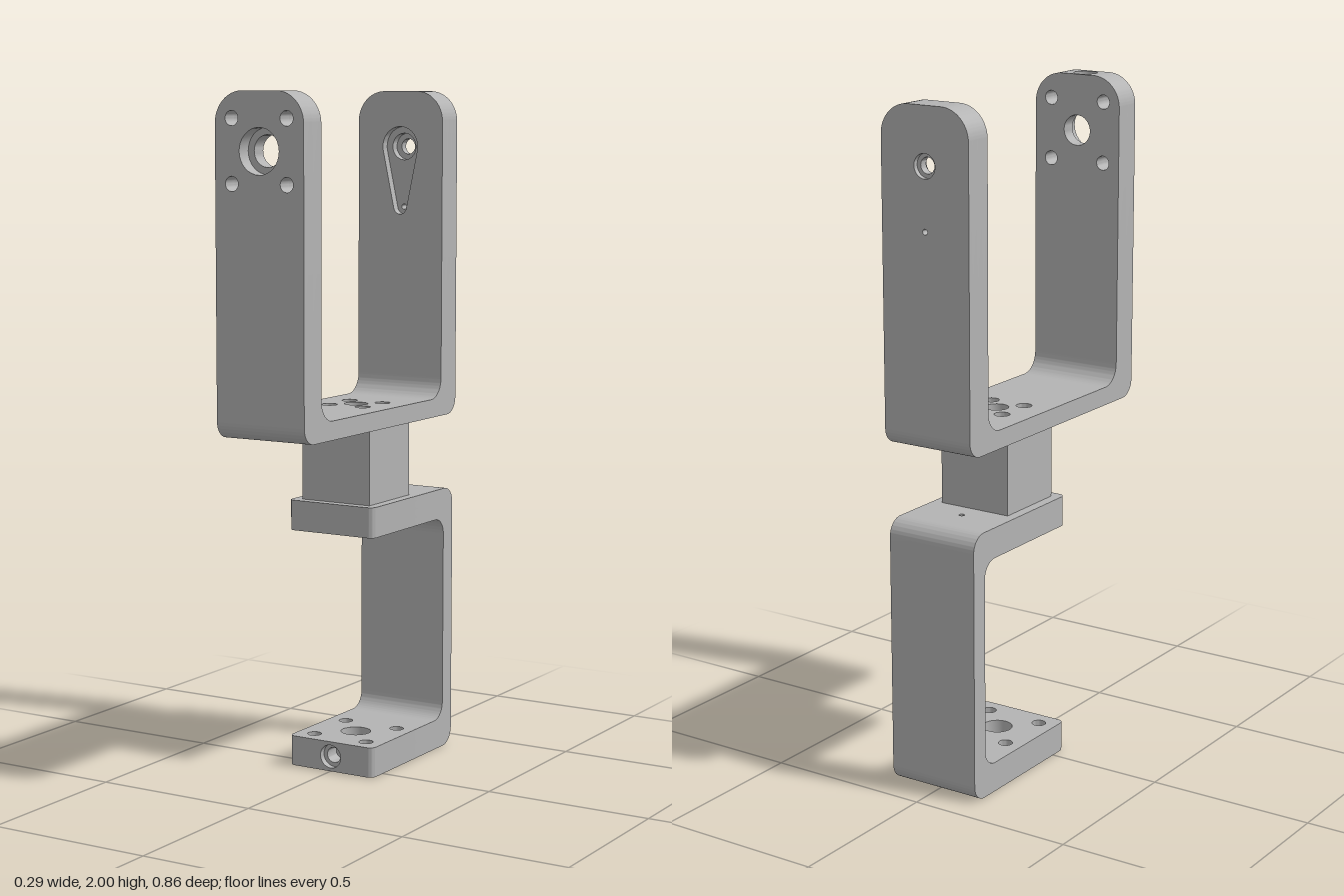
import * as THREE from 'three';
import { toCreasedNormals } from 'three/addons/utils/BufferGeometryUtils.js';

const W = 0.145; // half width of every bracket plate
const T = 0.09;  // thickness of the drilled ends
const grey = new THREE.MeshStandardMaterial({ color: 0xb3b3b3 });
grey.name = 'plain grey';

function circle(x, y, r) {
  return new THREE.Path().absarc(x, y, r, 0, Math.PI * 2, false);
}

// Four screw holes on a square pattern
function screwHoles(offset, r) {
  return [[-1, -1], [1, -1], [1, 1], [-1, 1]].map(([a, b]) => circle(a * offset, b * offset, r));
}

function rect(x0, y0, x1, y1) {
  return new THREE.Shape([[x0, y0], [x1, y0], [x1, y1], [x0, y1]].map(p => new THREE.Vector2(...p)));
}

// One slab of a part: outline with holes, from depth w0 to w1
function layer(name, outline, holes, w0, w1) {
  const shape = outline.clone();
  shape.holes = holes;
  const geo = new THREE.ExtrudeGeometry(shape, { depth: w1 - w0, bevelEnabled: false, curveSegments: 16 });
  geo.translate(0, 0, w0);
  const mesh = new THREE.Mesh(toCreasedNormals(geo, 0.5), grey);
  mesh.name = name;
  return mesh;
}

function group(name, ...parts) {
  const g = new THREE.Group();
  g.name = name;
  if (parts.length) g.add(...parts);
  return g;
}

// Plate outline from root to rounded tip, with an optional notch for the edge bore
function endOutline(root, tip, r, notch) {
  const s = new THREE.Shape();
  s.moveTo(-W, root);
  s.lineTo(W, root);
  s.lineTo(W, tip - r);
  s.absarc(W - r, tip - r, r, 0, Math.PI / 2, false);
  if (notch) {
    s.lineTo(0.045, tip);
    s.lineTo(0.045, tip - notch);
    s.lineTo(-0.045, tip - notch);
    s.lineTo(-0.045, tip);
  }
  s.absarc(-W + r, tip - r, r, Math.PI / 2, Math.PI, false);
  s.closePath();
  return s;
}

// End with a stepped centre hole, four screw holes and a bore in its edge
function drivenEnd(name, root, tip, r) {
  const notch = 0.07;
  const outline = endOutline(root, tip, r, notch);
  const block = rect(-0.045, -0.045, 0.045, 0.045);
  const bore = group('edgeBore',
    layer('boreInner', block, [circle(0, 0, 0.023)], 0, 0.05),
    layer('boreMouth', block, [circle(0, 0, 0.035)], 0.05, notch));
  bore.rotation.x = -Math.PI / 2;
  bore.position.set(0, tip - notch, T / 2);
  return group(name,
    layer('innerFace', outline, [circle(0, 0, 0.045), ...screwHoles(0.09, 0.021)], 0, 0.045),
    layer('outerFace', outline, [circle(0, 0, 0.065), ...screwHoles(0.09, 0.021)], 0.045, T),
    bore);
}

// End with a teardrop pocket, a stepped pivot hole and a tiny pin hole
function idlerEnd(name, root, tip, r) {
  const outline = endOutline(root, tip, r, 0);
  const R = 0.06, r2 = 0.022, d = 0.18;
  const a = Math.asin((R - r2) / d);
  const pocket = new THREE.Path();
  pocket.absarc(0, 0, R, -a, Math.PI + a, false);
  pocket.absarc(0, -d, r2, Math.PI + a, Math.PI * 2 - a, false);
  pocket.closePath();
  const pin = () => circle(0, -d, 0.008);
  return group(name,
    layer('pocketFace', outline, [pocket], 0, 0.025),
    layer('pivotSeat', outline, [circle(0, 0, 0.04), pin()], 0.025, 0.05),
    layer('pivotBore', outline, [circle(0, 0, 0.023), pin()], 0.05, 0.075),
    layer('outerFace', outline, [circle(0, 0, 0.035), pin()], 0.075, T));
}

// Rounded corner joining a wall (thickness tw) and a floor (thickness tf)
function bend(name, tw, tf, ri) {
  const ro = 0.05;
  const s = new THREE.Shape();
  s.moveTo(ro, 0);
  s.lineTo(tw + ri, 0);
  s.lineTo(tw + ri, tf);
  s.absarc(tw + ri, tf + ri, ri, -Math.PI / 2, -Math.PI, true);
  s.lineTo(0, tf + ri);
  s.lineTo(0, ro);
  s.absarc(ro, ro, ro, Math.PI, Math.PI * 1.5, false);
  return layer(name, s, [], -W, W);
}

function place(obj, pos, rot = [0, 0, 0]) {
  obj.position.set(...pos);
  obj.rotation.set(...rot);
  return obj;
}

export function createModel() {
  const H = Math.PI / 2;
  const axisZ = -0.085; // vertical pivot axis

  // Upper fork: two arms on a drilled floor
  const floorShape = rect(-W, -0.28 - axisZ, W, 0.28 - axisZ);
  const floor = group('forkFloor',
    layer('floorTop', floorShape, [circle(0, 0, 0.035), ...screwHoles(0.057, 0.023)], 0, 0.02),
    layer('floorBottom', floorShape, [circle(0, 0, 0.023), ...screwHoles(0.057, 0.023)], 0.02, 0.055));
  const fork = group('upperFork',
    place(drivenEnd('frontArm', -0.69, 0.165, 0.09), [0, 1.835, 0.34]),
    place(idlerEnd('backArm', -0.69, 0.165, 0.09), [0, 1.835, -0.34], [0, Math.PI, 0]),
    place(floor, [0, 1.085, axisZ], [H, 0, 0]),
    place(bend('frontBend', T, 0.055, 0.06), [0, 1.03, 0.43], [0, H, 0]),
    place(bend('backBend', T, 0.055, 0.06), [0, 1.03, -0.43], [0, -H, 0]));

  // Square spacer between the two brackets
  const spacer = place(
    layer('spacer', rect(-0.115, -0.115, 0.115, 0.115), [circle(0, 0, 0.023)], 0, 0.225),
    [0, 1.03, axisZ], [H, 0, 0]);

  // Lower bracket: back wall with a plate above and below
  const wall = new THREE.Mesh(new THREE.BoxGeometry(W * 2, 0.525, 0.055), grey);
  wall.name = 'backWall';
  const bracket = group('lowerBracket',
    place(drivenEnd('bottomPlate', -0.225, 0.145, 0.02), [0, T, axisZ], [H, 0, 0]),
    place(idlerEnd('topPlate', -0.225, 0.145, 0.02), [0, 0.715, axisZ], [H, Math.PI, 0]),
    place(wall, [0, 0.4025, -0.3875]),
    place(bend('bottomBend', 0.055, T, 0.05), [0, 0, -0.415], [0, -H, 0]),
    place(bend('topBend', 0.055, T, 0.05), [0, 0.805, -0.415], [Math.PI, H, 0]));

  return group('doubleBracket', fork, spacer, bracket);
}
